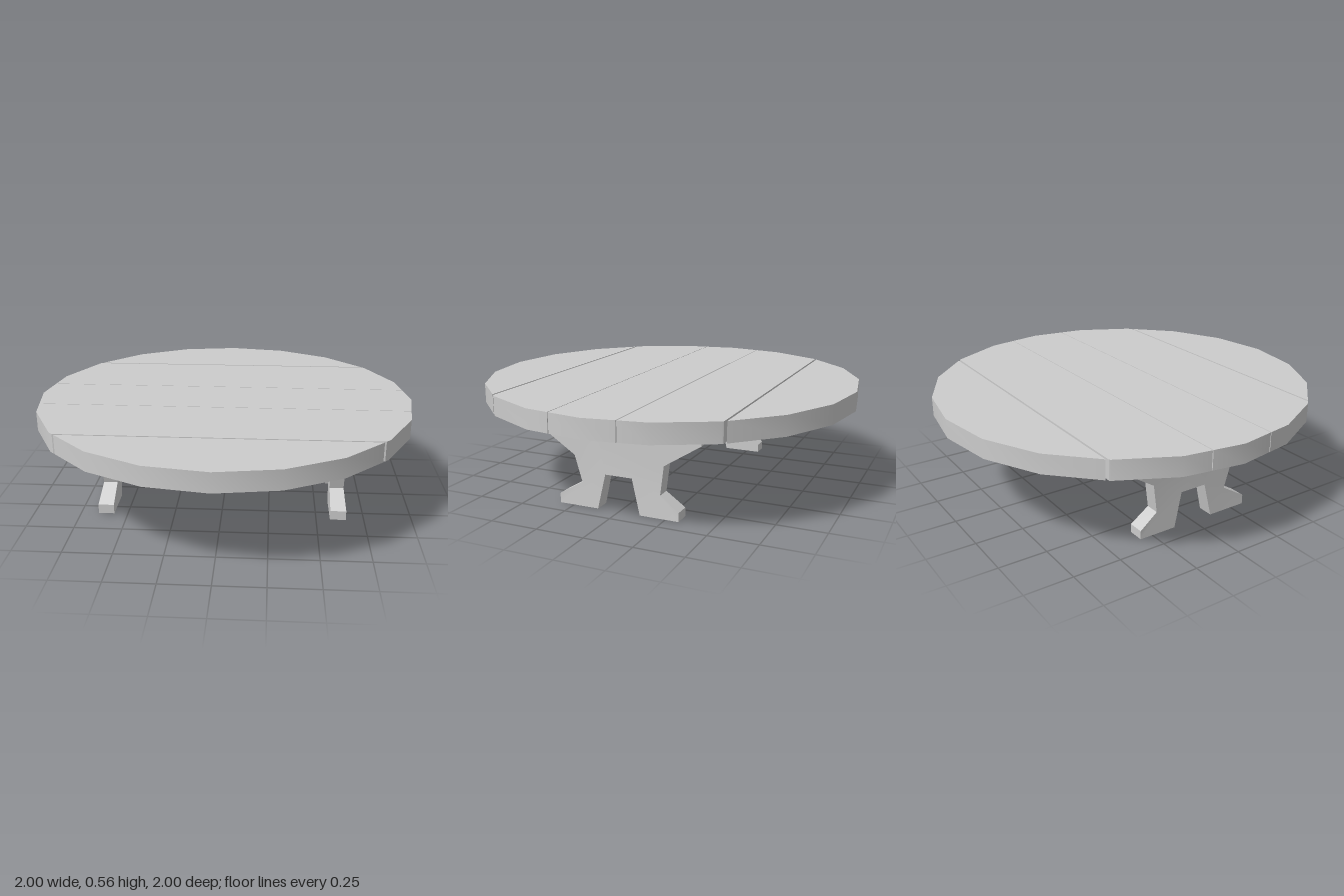
import * as THREE from 'three';
import { toCreasedNormals } from 'three/addons/utils/BufferGeometryUtils.js';

const SIDES = 20, TOP = 0.56, THICK = 0.1;
const material = new THREE.MeshStandardMaterial({ color: 0xcccccc });

// z levels of the polygon corners along one side of the round top
const cornerZ = Array.from({ length: SIDES / 2 + 1 }, (_, i) => -Math.cos((i * 2 * Math.PI) / SIDES));

// half width of the 20-sided top at depth z
function halfWidth(z) {
  const i = Math.max(1, cornerZ.findIndex((c) => c >= z - 1e-9));
  const t = (z - cornerZ[i - 1]) / (cornerZ[i] - cornerZ[i - 1]);
  const w = (k) => Math.sin((k * 2 * Math.PI) / SIDES);
  return Math.max(0, w(i - 1) + t * (w(i) - w(i - 1)));
}

// one board: the slice of the round top between two depths
function makePlank(z0, z1) {
  const levels = [z0, ...cornerZ.filter((z) => z > z0 + 1e-4 && z < z1 - 1e-4), z1];
  const right = levels.map((z) => new THREE.Vector2(halfWidth(z), z));
  const left = levels.map((z) => new THREE.Vector2(-halfWidth(z), z)).reverse();
  const points = [...right, ...left].filter((p, i, a) => p.distanceTo(a[(i + 1) % a.length]) > 1e-5);
  const geo = new THREE.ExtrudeGeometry(new THREE.Shape(points), { depth: THICK, bevelEnabled: false });
  geo.rotateX(Math.PI / 2).translate(0, TOP, 0);
  return new THREE.Mesh(toCreasedNormals(geo, 0.4), material);
}

// trestle outline as (z, y): two arms above, two splayed feet below
const outline = [
  [0.44, 0.46], [0.435, 0.385], [0.245, 0.26], [0.205, 0.125], [0.33, 0.05], [0.33, 0],
  [0.115, 0], [0.075, 0.18], [-0.07, 0.18], [-0.115, 0], [-0.32, 0], [-0.32, 0.045],
  [-0.22, 0.115], [-0.24, 0.265], [-0.43, 0.385], [-0.43, 0.46],
  [-0.14, 0.46], [-0.105, 0.36], [0.11, 0.375], [0.145, 0.46],
];

function makeTrestle(side) {
  const shape = new THREE.Shape(outline.map(([z, y]) => new THREE.Vector2(z, y)));
  const geo = new THREE.ExtrudeGeometry(shape, { depth: 0.074, bevelEnabled: false });
  geo.rotateY(-Math.PI / 2).translate(0.037, 0, 0);
  // feet flare slightly outward
  const p = geo.attributes.position;
  for (let i = 0; i < p.count; i++) {
    if (p.getY(i) < 0.08 && p.getX(i) * side > 0) p.setX(i, p.getX(i) + side * 0.009);
  }
  const mesh = new THREE.Mesh(toCreasedNormals(geo, 0.3), material);
  mesh.position.x = side * 0.61;
  return mesh;
}

export function createModel() {
  const table = new THREE.Group();
  table.name = 'table';

  // table top: five boards with narrow gaps
  const top = new THREE.Group();
  top.name = 'tableTop';
  const planks = [[-1, -0.604], [-0.593, -0.167], [-0.163, 0.178], [0.182, 0.608], [0.618, 1]];
  planks.forEach(([z0, z1], i) => {
    const plank = makePlank(z0, z1);
    plank.name = `plank${i + 1}`;
    top.add(plank);
  });
  table.add(top);

  // trestle legs
  for (const side of [-1, 1]) {
    const leg = makeTrestle(side);
    leg.name = side > 0 ? 'leftTrestleLeg' : 'rightTrestleLeg';
    table.add(leg);
  }
  return table;
}
